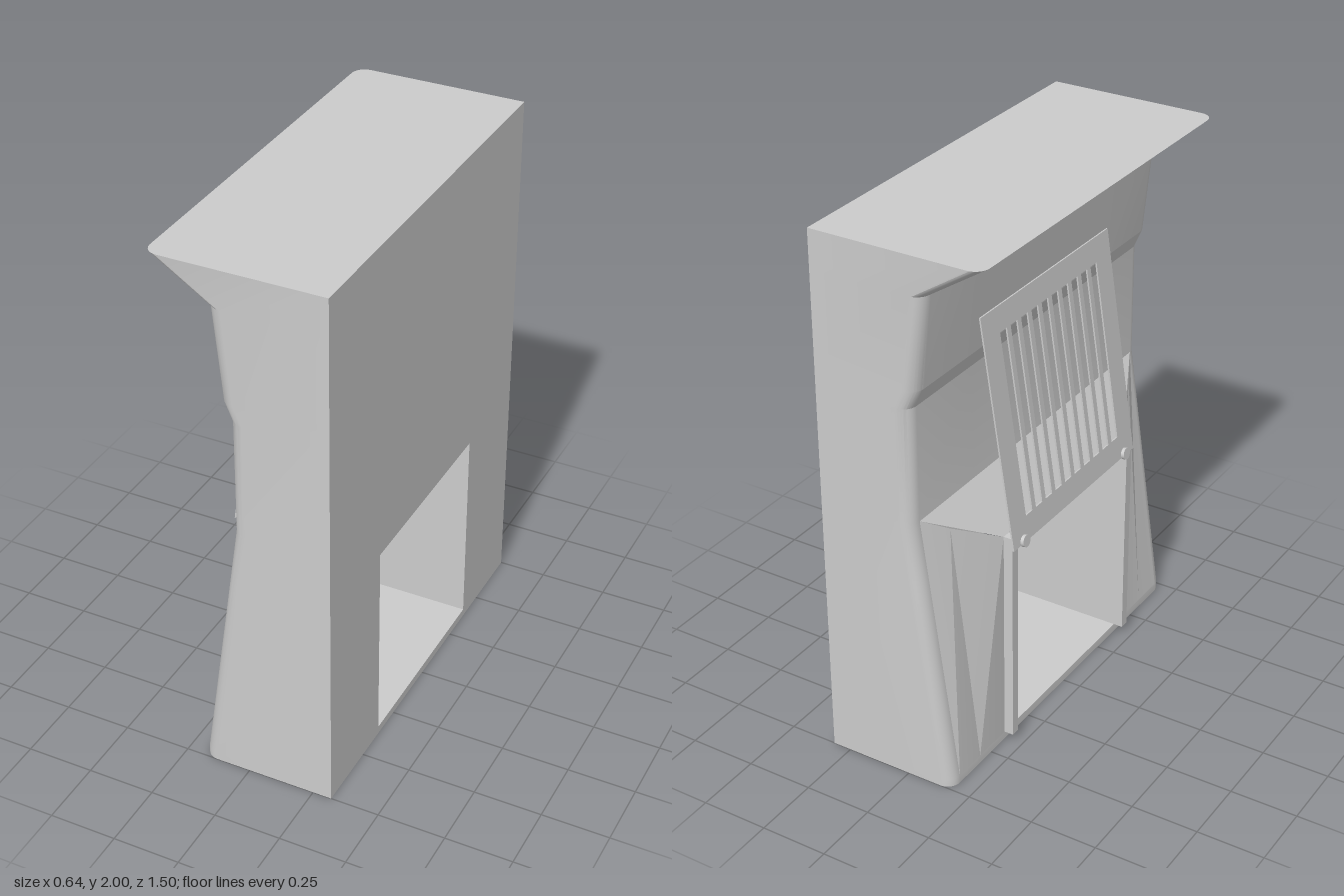
import * as THREE from 'three';
import { toCreasedNormals } from 'three/addons/utils/BufferGeometryUtils.js';

const grey = new THREE.MeshStandardMaterial({ color: 0xcccccc });
const HALF = 0.75, BACK = 0.32, RADIUS = 0.05;
const DOOR = 0.375, SILL = 0.03, HEAD = 0.8;

function add(parent, geometry, name) {
  const mesh = new THREE.Mesh(geometry, grey);
  mesh.name = name;
  parent.add(mesh);
  return mesh;
}

function toGeometry(triangles) {
  const g = new THREE.BufferGeometry();
  g.setAttribute('position', new THREE.Float32BufferAttribute(triangles.flat(2), 3));
  return toCreasedNormals(g, 0.3);
}

const quad = (a, b, c, d) => [[a, b, c], [a, c, d]];

// Plan outline at one height: flat back, rounded corners on the facade side
function ring(front, y) {
  const pts = [HALF, DOOR, -DOOR, -HALF].map(z => [BACK, y, z]);
  const arc = s => {
    const out = [];
    for (let i = 0; i <= 8; i++) {
      const a = (i / 8) * Math.PI / 2;
      out.push([front + RADIUS * (1 - Math.sin(a)), y, s * (HALF - RADIUS + RADIUS * Math.cos(a))]);
    }
    return out;
  };
  pts.push(...arc(-1), [front, y, -DOOR], [front, y, DOOR], ...arc(1).reverse());
  return pts;
}

// Main block lofted up the facade profile, leaving the doorway open
function bodyGeometry() {
  const profile = [
    [-0.18, 0], [-0.18, SILL], [-0.071, HEAD], [-0.04, 1.02], [-0.04, 1.45],
    [-0.07, 1.52], [-0.105, 1.86], [-0.32, 2],
  ];
  const rings = profile.map(([x, y]) => ring(x, y));
  const n = rings[0].length;
  const tris = [];
  for (let k = 0; k < rings.length - 1; k++) {
    for (let i = 0; i < n; i++) {
      const j = (i + 1) % n;
      const spansDoor = Math.abs(rings[k][i][2]) === DOOR && Math.abs(rings[k][j][2]) === DOOR;
      if (k === 1 && spansDoor) continue;
      tris.push(...quad(rings[k][i], rings[k][j], rings[k + 1][j], rings[k + 1][i]));
    }
  }
  // Top and bottom caps
  const top = rings[rings.length - 1], bottom = rings[0];
  for (let i = 0; i < n; i++) {
    const j = (i + 1) % n;
    tris.push([[0, 2, 0], top[i], top[j]], [[0, 0, 0], bottom[j], bottom[i]]);
  }
  return toGeometry(tris);
}

// Projecting door surround with sloped hood and flared cheeks, plus the tunnel lining
function mirroredFaces(faces) {
  const tris = [];
  for (const s of [1, -1]) {
    for (const face of faces) {
      const f = face.map(([x, y, z]) => [x, y, s * z]);
      if (s < 0) f.reverse();
      tris.push(...quad(...f));
    }
  }
  return toGeometry(tris);
}

function surroundGeometry() {
  const x = -0.18;
  const wall = [-0.04, 1.02, 0.7], mid = [-0.0925, 0.956, 0.6], corner = [x, 0.85, 0.41];
  const foot = [x, SILL, 0.7], midFoot = [x, SILL, 0.57], cornerFoot = [x, SILL, 0.41];
  return mirroredFaces([
    [wall, mid, midFoot, foot],
    [mid, corner, cornerFoot, midFoot],
    [corner, [x, 0.85, DOOR], [x, SILL, DOOR], cornerFoot],
    [wall, [-0.04, 1.02, 0], [x, 0.85, 0], corner],
    [[x, 0.85, DOOR], [x, 0.85, 0], [x, HEAD, 0], [x, HEAD, DOOR]],
  ]);
}

function tunnelGeometry() {
  const x = -0.18;
  return mirroredFaces([
    [[x, SILL, DOOR], [x, HEAD, DOOR], [BACK, HEAD, DOOR], [BACK, SILL, DOOR]],
    [[x, HEAD, 0], [BACK, HEAD, 0], [BACK, HEAD, DOOR], [x, HEAD, DOOR]],
    [[x, SILL, DOOR], [BACK, SILL, DOOR], [BACK, SILL, 0], [x, SILL, 0]],
  ]);
}

function rect(path, x0, y0, x1, y1) {
  path.moveTo(x0, y0).lineTo(x1, y0).lineTo(x1, y1).lineTo(x0, y1).closePath();
  return path;
}

// Thin slotted gate panel
function grilleGeometry(length) {
  const shape = rect(new THREE.Shape(), -0.41, 0, 0.41, length);
  const slots = 10, pitch = 0.065;
  for (let i = 0; i < slots; i++) {
    const c = (i - (slots - 1) / 2) * pitch;
    shape.holes.push(rect(new THREE.Path(), c - 0.021, 0.09, c + 0.021, length - 0.09));
  }
  const g = new THREE.ExtrudeGeometry(shape, { depth: 0.006, bevelEnabled: false });
  return g.rotateY(-Math.PI / 2);
}

export function createModel() {
  const model = new THREE.Group();
  model.name = 'gatehouse';
  add(model, bodyGeometry(), 'wallBlock');
  add(model, surroundGeometry(), 'doorSurround');
  add(model, tunnelGeometry(), 'doorTunnel');

  // Guide rails beside the doorway
  for (const s of [1, -1]) {
    add(model, new THREE.BoxGeometry(0.035, 0.82, 0.035), 'doorRail')
      .position.set(-0.1975, 0.44, s * 0.3925);
  }

  // Raised gate leaning back against the wall
  const gate = new THREE.Group();
  gate.name = 'raisedGate';
  gate.position.set(-0.216, 0.803, 0);
  gate.rotation.z = -Math.atan2(0.126, 0.847);
  add(gate, grilleGeometry(0.856), 'grille');
  // Small lugs at the lower edge
  for (const s of [1, -1]) {
    const lug = add(gate, new THREE.CylinderGeometry(0.022, 0.022, 0.014, 16), 'gateLug');
    lug.rotation.z = Math.PI / 2;
    lug.position.set(-0.011, 0.01, s * 0.345);
  }
  model.add(gate);
  return model;
}
